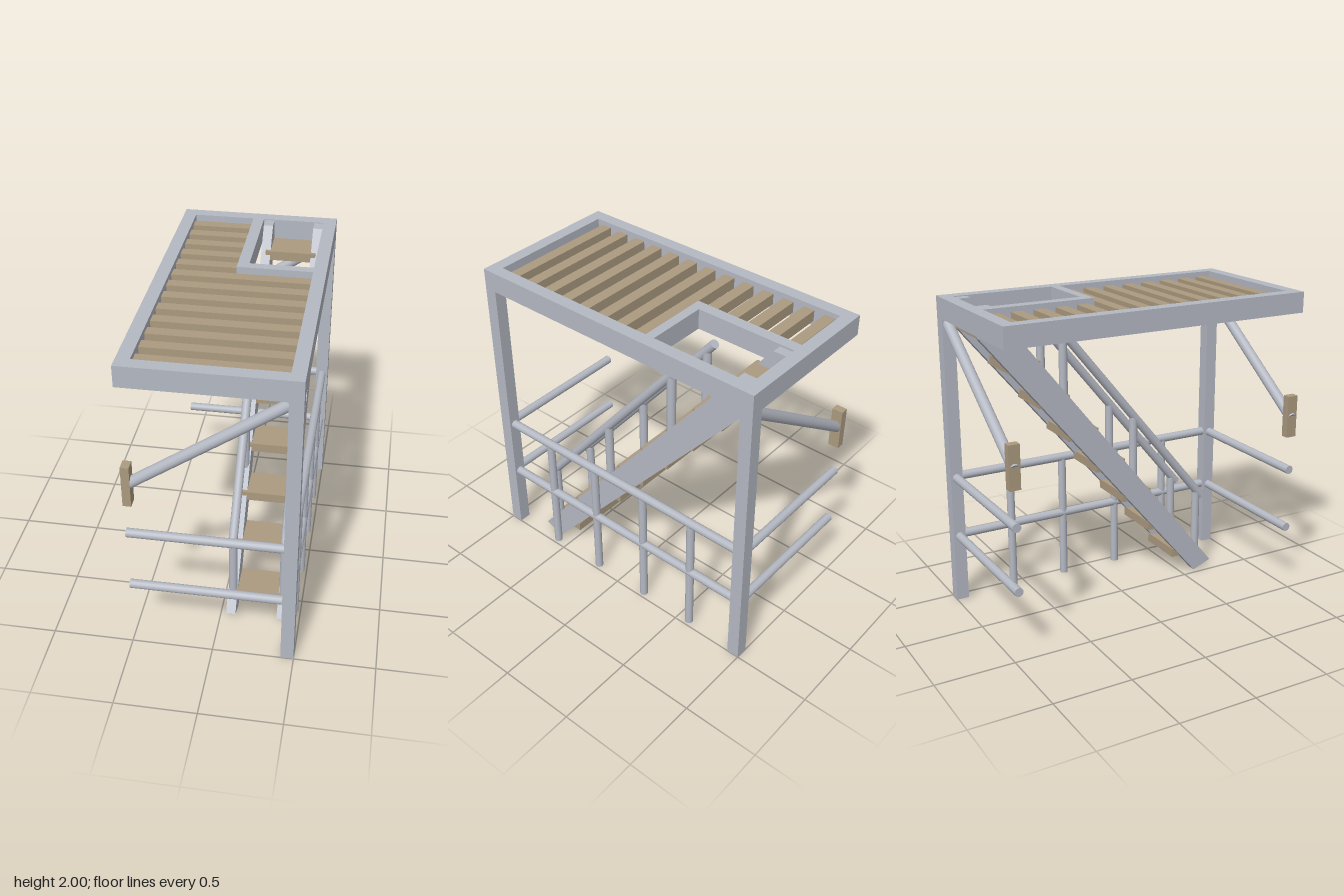
import * as THREE from 'three';

export function createModel() {
  const model = new THREE.Group();
  model.name = 'stairPlatform';
  const steel = new THREE.MeshStandardMaterial({ color: 0xb4b8c2 });
  steel.name = 'grey steel';
  const wood = new THREE.MeshStandardMaterial({ color: 0xab9a7f });
  wood.name = 'tan wood';

  // Box given by its limits on each axis
  function box(name, mat, [x0, x1], [y0, y1], [z0, z1]) {
    const mesh = new THREE.Mesh(new THREE.BoxGeometry(x1 - x0, y1 - y0, z1 - z0), mat);
    mesh.position.set((x0 + x1) / 2, (y0 + y1) / 2, (z0 + z1) / 2);
    mesh.name = name;
    model.add(mesh);
  }

  // Round pipe between two points
  function pipe(name, a, b, radius = 0.028) {
    const p = new THREE.Vector3(...a), q = new THREE.Vector3(...b);
    const dir = q.clone().sub(p);
    const mesh = new THREE.Mesh(new THREE.CylinderGeometry(radius, radius, dir.length(), 20), steel);
    mesh.position.copy(p).add(q).multiplyScalar(0.5);
    mesh.quaternion.setFromUnitVectors(new THREE.Vector3(0, 1, 0), dir.normalize());
    mesh.name = name;
    model.add(mesh);
  }

  // Platform frame: rectangular rim with the slat field and the stair hatch cut out
  const rim = new THREE.Shape([[-0.5, -1], [0.5, -1], [0.5, 1], [-0.5, 1]].map(p => new THREE.Vector2(...p)));
  const holes = [
    [[-0.42, -0.92], [0.42, -0.92], [0.42, 0.21], [-0.04, 0.21], [-0.04, 0.92], [-0.42, 0.92]],
    [[0.03, 0.27], [0.42, 0.27], [0.42, 0.92], [0.03, 0.92]],
  ];
  for (const h of holes) rim.holes.push(new THREE.Path(h.map(p => new THREE.Vector2(...p))));
  const frameGeo = new THREE.ExtrudeGeometry(rim, { depth: 0.13, bevelEnabled: false });
  frameGeo.rotateX(-Math.PI / 2);
  const frame = new THREE.Mesh(frameGeo, steel);
  frame.position.y = 1.87;
  frame.name = 'platformFrame';
  model.add(frame);

  // Deck slats, shorter beside the hatch
  for (let i = 0; i < 13; i++) {
    const z = 0.85 - i * 0.1423;
    box('deckSlat', wood, [-0.42, z < -0.21 ? -0.04 : 0.42], [1.9, 1.97], [z - 0.036, z + 0.036]);
  }

  // Both ends: corner post, cross rails, diagonal brace and its wooden block
  for (const s of [1, -1]) {
    const z = s * 0.96;
    box('cornerPost', steel, [0.42, 0.5], [0, 1.87], [z - 0.04, z + 0.04]);
    for (const y of [0.445, 0.845]) pipe('endRail', [-0.5, y, z], [0.43, y, z]);
    pipe('brace', [0.43, 1.837, z], [-0.49, 1.195, z], 0.034);
    box('braceBlock', wood, [-0.5, -0.45], [1.07, 1.34], [z - 0.035, z + 0.035]);
  }

  // Long side railing
  for (const y of [0.445, 0.845]) pipe('sideRail', [0.46, y, 0.93], [0.46, y, -0.93]);
  for (const z of [0.585, 0.2, -0.2, -0.58]) pipe('railingPost', [0.46, 0, z], [0.46, 0.845, z], 0.026);

  // Stair stringers; the profile is drawn in (-z, y) and turned into place
  const side = new THREE.Shape(
    [[-0.73, 0.05], [-0.6, 0], [0.92, 1.81], [0.92, 1.995], [0.835, 1.995]].map(p => new THREE.Vector2(...p)));
  const sideGeo = new THREE.ExtrudeGeometry(side, { depth: 0.06, bevelEnabled: false });
  sideGeo.rotateY(Math.PI / 2);
  for (const x of [0.07, 0.39]) {
    const stringer = new THREE.Mesh(sideGeo, steel);
    stringer.position.x = x - 0.03;
    stringer.name = 'stringer';
    model.add(stringer);

    // Sloping handrail on three uprights
    pipe('handrail', [x, 0.535, 0.66], [x, 1.85, -0.42]);
    for (const [z, y0, y1] of [[0.62, 0.14, 0.57], [0.125, 0.75, 1.185], [-0.37, 1.35, 1.785]])
      pipe('handrailPost', [x, y0, z], [x, y1, z], 0.027);
  }

  // Treads
  for (let i = 0; i < 8; i++) {
    const y = 0.118 + i * 0.242, z = 0.44 - i * 0.195;
    box('tread', wood, [0.07, 0.39], [y, y + 0.06], [z, z + 0.21]);
  }
  return model;
}
